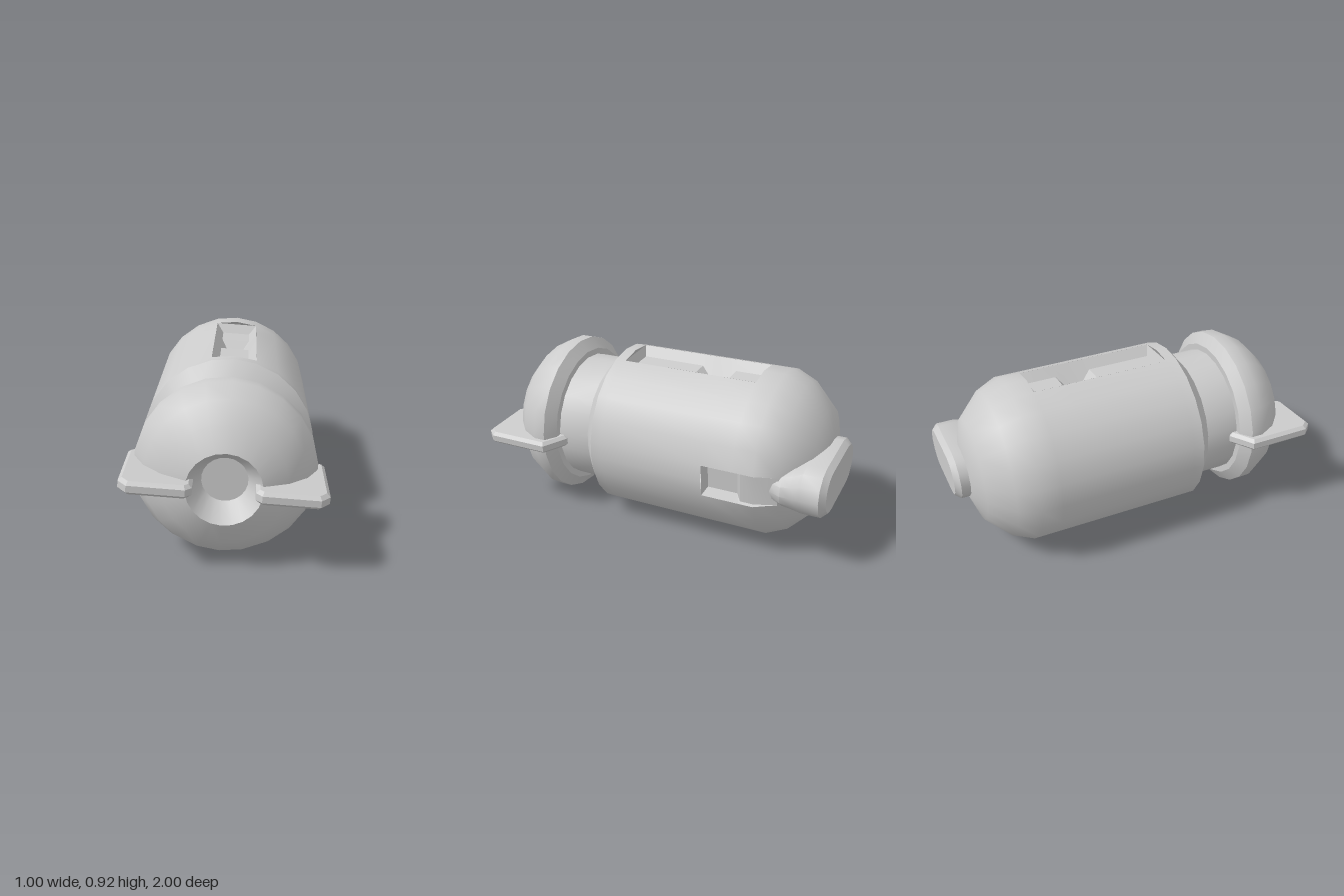
import * as THREE from 'three';
import { toCreasedNormals } from 'three/addons/utils/BufferGeometryUtils.js';

const R = 0.462;      // hull radius
const ROLL = -0.075;  // the hull is rolled slightly about its long axis

const material = new THREE.MeshStandardMaterial({ color: 0xcccccc, side: THREE.DoubleSide });

function part(name, geometry, crease = 0.6) {
  const mesh = new THREE.Mesh(toCreasedNormals(geometry, crease), material);
  mesh.name = name;
  return mesh;
}

// Skin a run of cross-sections; skip(i, j) leaves an opening.
function loft(rings, closed, skip = () => false) {
  const n = rings[0].length;
  const index = [];
  for (let i = 0; i < rings.length - 1; i++) {
    for (let j = 0; j < (closed ? n : n - 1); j++) {
      if (skip(i, j)) continue;
      const a = i * n + j, b = i * n + (j + 1) % n;
      index.push(a, a + n, b, b, a + n, b + n);
    }
  }
  const geometry = new THREE.BufferGeometry();
  geometry.setAttribute('position', new THREE.Float32BufferAttribute(rings.flat(2), 3));
  geometry.setIndex(index);
  geometry.computeVertexNormals();
  return geometry;
}

// Barrel and rear dome, with openings for the three slots
function barrel() {
  const side = 0.197, long = 0.264, q = Math.PI / 2;
  const angles = [0];
  const span = (from, to, steps) => {
    for (let k = 0; k <= steps; k++) angles.push(from + (to - from) * k / steps);
  };
  span(side, q - long, 4);
  angles.push(q);
  span(q + long, 3 * q - long, 9);
  angles.push(3 * q);
  span(3 * q + long, 4 * q - side, 4);

  const profile = [
    [0.39, 0.365], [0.31, R], [0.25, R], [-0.35, R], [-0.52, R], [-0.635, R],
    [-0.75, 0.41], [-0.875, 0.285], [-0.92, 0.15], [-0.932, 0.001],
  ];
  const rings = profile.map(([z, r]) => angles.map(a => [r * Math.cos(a), r * Math.sin(a), z]));
  const near = (a, target, half) => Math.abs(a - target) < half;
  return loft(rings, true, (i, j) => {
    const a = (angles[j] + (angles[j + 1] ?? 4 * q)) / 2;
    if (i >= 2 && i <= 3) {
      if (near(a, q, long) || near(a, 3 * q, long)) return true;
    }
    return i >= 3 && i <= 5 && (near(a, 0, side) || near(a, 4 * q, side));
  });
}

// Recess: each section is [z, rim radius, rim half-width, floor radius, floor half-width]
function recess(sections) {
  return loft(sections.map(([z, rt, ht, rf, hf]) =>
    [[rt, -ht, z], [rf, -hf, z], [rf, hf, z], [rt, ht, z]]), false);
}

// Rounded bar cross-section from x0 to x1
function stadium([z, x0, x1, h]) {
  const points = [];
  for (let k = 0; k < 14; k++) {
    const rightEnd = k < 7;
    const a = -Math.PI / 2 + Math.PI * (rightEnd ? k / 6 : 1 + (k - 7) / 6);
    points.push([(rightEnd ? x1 - h : x0 + h) + h * Math.cos(a), h * Math.sin(a), z]);
  }
  return points;
}

export function createModel() {
  const model = new THREE.Group();
  model.name = 'capsule';
  model.position.y = R;
  model.rotation.z = ROLL;

  model.add(part('barrel', barrel()));

  // Neck, nose dome and its funnel
  const nose = [
    [0.365, 0.37], [0.365, 0.575], [0.4, 0.575], [R, 0.62], [R, 0.685], [0.405, 0.79],
    [0.31, 0.875], [0.187, 0.932], [0.115, 0.81], [0, 0.81],
  ].map(p => new THREE.Vector2(...p));
  model.add(part('nose', new THREE.LatheGeometry(nose, 22).rotateX(Math.PI / 2)));

  // Long slots above and below, each with a narrow valley across the floor
  const rim = [0.446, 0.12];
  const longSlot = [
    [0.25, ...rim, 0.446, 0.12], [0.23, ...rim, 0.395, 0.08], [-0.13, ...rim, 0.395, 0.08],
    [-0.2, ...rim, 0.335, 0.04], [-0.28, ...rim, 0.335, 0.04], [-0.33, ...rim, 0.395, 0.08],
    [-0.49, ...rim, 0.395, 0.08], [-0.52, ...rim, 0.446, 0.12],
  ];
  for (const [name, turn] of [['topSlot', 1], ['bottomSlot', -1]]) {
    const slot = part(name, recess(longSlot), 0.3);
    slot.rotation.z = turn * Math.PI / 2;
    model.add(slot);
  }

  // Side slot, where the arm rises out of the hull
  model.add(part('sideSlot', recess([
    [-0.35, 0.453, 0.09, 0.453, 0.09], [-0.352, 0.453, 0.09, 0.37, 0.085],
    [-0.52, 0.453, 0.09, 0.37, 0.085], [-0.56, 0.453, 0.09, 0.435, 0.085],
    [-0.635, 0.453, 0.09, 0.435, 0.085], [-0.75, 0.402, 0.08, 0.4, 0.08],
  ]), 0.3));

  // Arm flaring into the rear plate, capped at the back
  const armRings = [
    [-0.7, -0.1, 0.41, 0.085], [-0.77, -0.13, 0.44, 0.095], [-0.82, -0.14, 0.44, 0.112],
    [-0.87, -0.14, 0.44, 0.135], [-0.97, -0.14, 0.44, 0.135], [-1, -0.11, 0.405, 0.11],
  ].map(stadium);
  armRings.push(armRings[5].map(() => [0.15, 0, -1]));
  const arm = part('rearArm', loft(armRings, true), 0.55);
  model.add(arm);

  // Bevelled fins either side of the nose
  const outline = [
    [0.15, 0.84], [0.15, 0.97], [0.18, 1], [0.455, 1], [0.5, 0.95],
    [0.5, 0.605], [0.37, 0.53], [0.3, 0.53],
  ].map(p => new THREE.Vector2(...p));
  const finGeometry = new THREE.ExtrudeGeometry(new THREE.Shape(outline), {
    depth: 0.034, bevelThickness: 0.017, bevelSize: 0.018, bevelOffset: -0.018, bevelSegments: 1,
  }).translate(0, 0, -0.017).rotateX(Math.PI / 2);
  for (const [name, turn] of [['leftFin', 0], ['rightFin', Math.PI]]) {
    const fin = part(name, finGeometry, 0.3);
    fin.rotation.z = turn;
    model.add(fin);
  }

  const root = new THREE.Group();
  root.add(model);
  return root;
}
